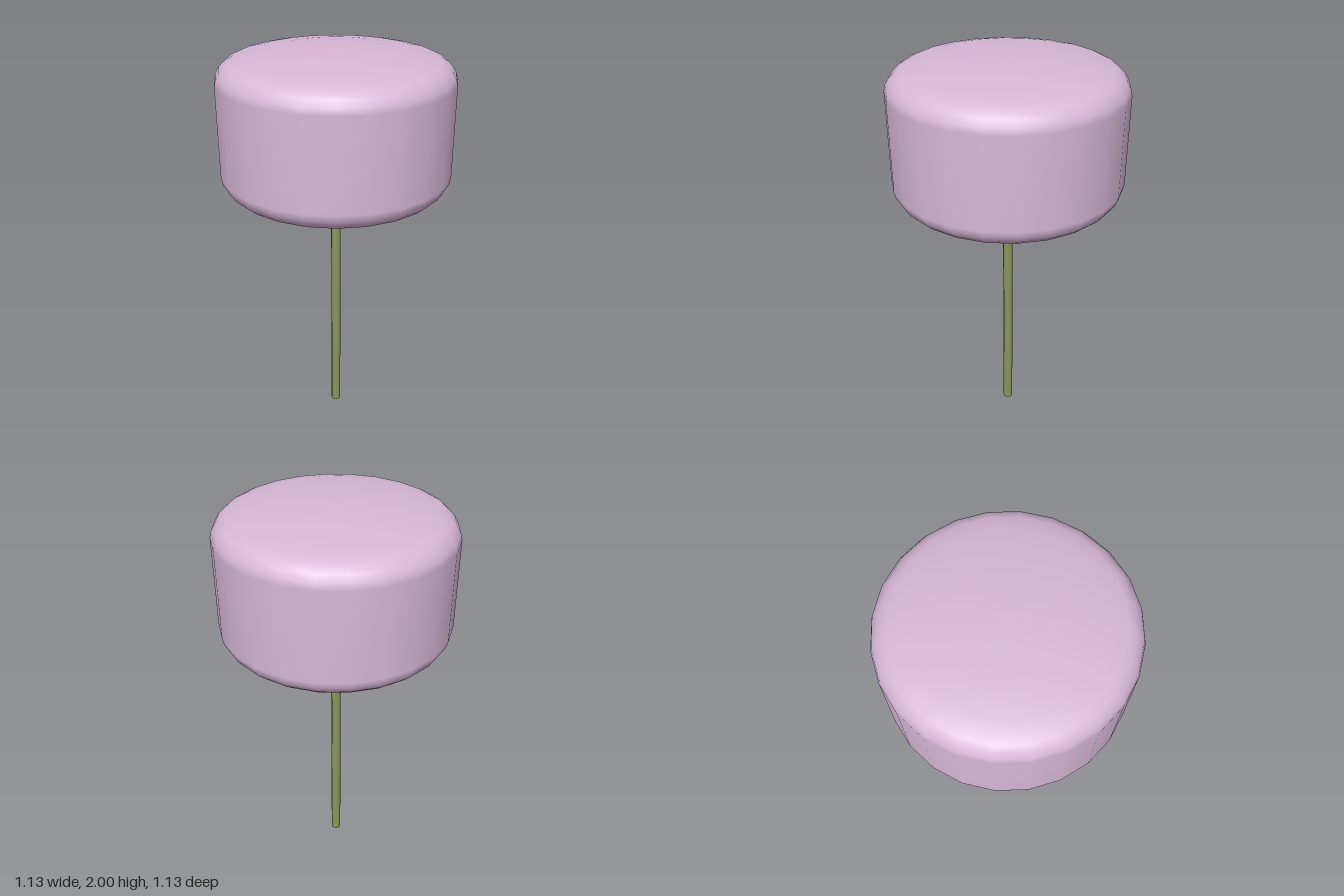
import * as THREE from 'three';

const HEAD_CENTER = 1.637;

export function createModel() {
  const model = new THREE.Group();
  const add = (name, geometry, color, y) => {
    const mesh = new THREE.Mesh(geometry, new THREE.MeshStandardMaterial({ color }));
    mesh.name = name;
    mesh.position.y = y;
    model.add(mesh);
  };

  // Head: drum with rounded rims and gently domed ends, mirrored top to bottom
  const upper = [
    [0.563, 0.22], [0.556, 0.25], [0.538, 0.279], [0.515, 0.3],
    [0.485, 0.315], [0.42, 0.33], [0.3, 0.347], [0.15, 0.359], [0, 0.363],
  ];
  const lower = upper.map(([r, y]) => [r, -y]).reverse();
  const profile = [...lower, ...upper].map(([r, y]) => new THREE.Vector2(r, y));
  add('head', new THREE.LatheGeometry(profile, 24), 0xd8b8d8, HEAD_CENTER);

  // Stem: thin straight stick reaching just inside the head
  const stemHeight = 1.32;
  add('stem', new THREE.CylinderGeometry(0.025, 0.025, stemHeight, 8), 0x8a9a5b, stemHeight / 2);

  return model;
}
